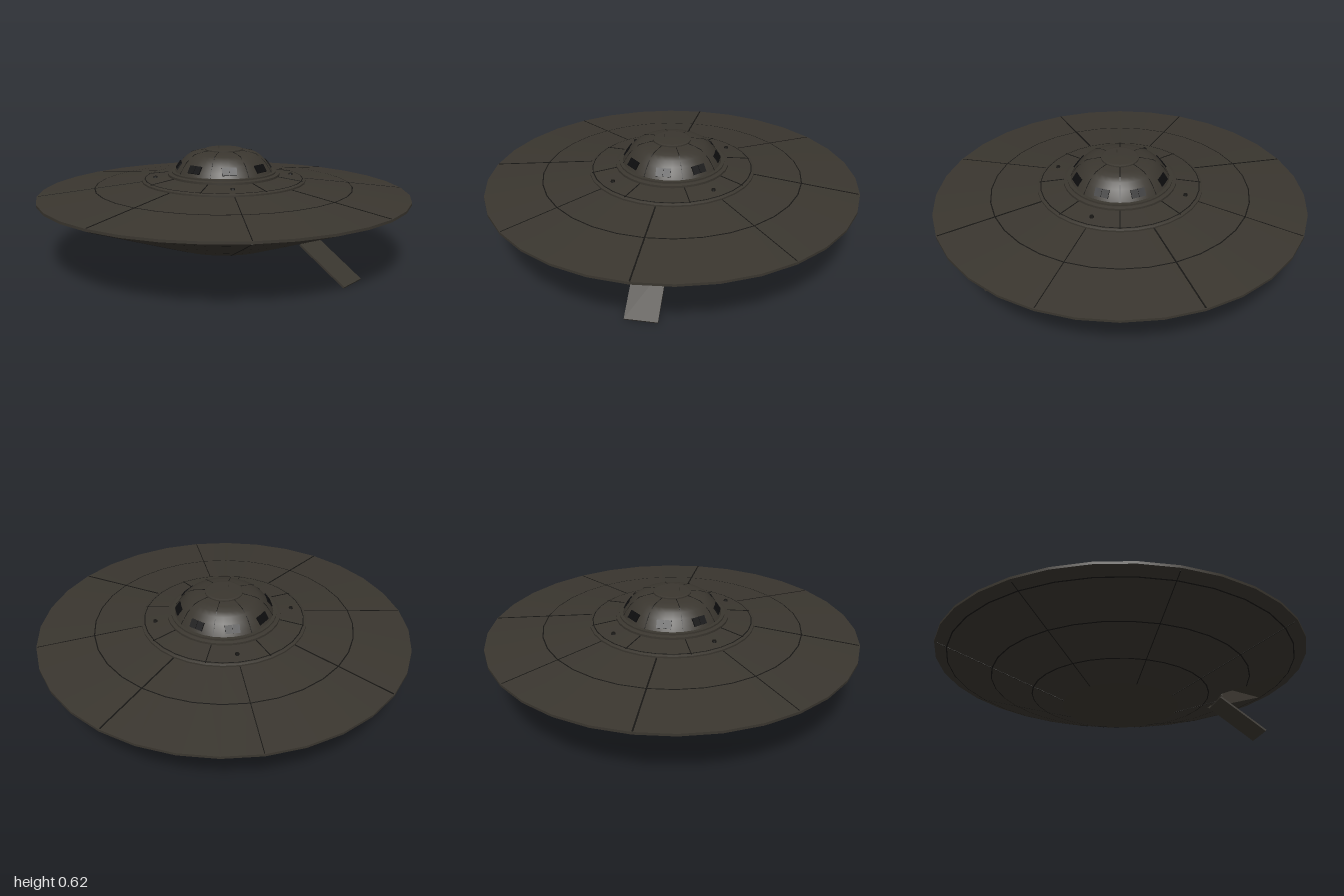
import * as THREE from 'three';

const SEG = 32, STEP = Math.PI * 2 / SEG;
const mat = (color) => new THREE.MeshStandardMaterial({ color, side: THREE.DoubleSide });
const RIM = 0.995, RIM_LOW = 0.345, RIM_TOP = 0.358;

export function createModel() {
  const model = new THREE.Group();
  const metal = mat(0x3a362f), dark = mat(0x161513), glass = mat(0x0d0d0e);

  const add = (name, geometry, material = metal, parent = model) => {
    const mesh = new THREE.Mesh(geometry, material);
    mesh.name = name;
    parent.add(mesh);
    return mesh;
  };
  const lathe = (name, pts, material = metal, start = 0, segs = SEG) =>
    add(name, new THREE.LatheGeometry(pts.map(p => new THREE.Vector2(...p)), segs, start, segs * STEP), material);
  // one lathe per straight band keeps the edges sharp
  const bands = (name, pts, material = metal) => {
    for (let i = 1; i < pts.length; i++) lathe(name, [pts[i - 1], pts[i]], material);
  };
  // an empty turned to an angle about the vertical axis (0 = front)
  const spoke = (name, angle) => {
    const g = new THREE.Group();
    g.name = name;
    g.rotation.y = angle;
    model.add(g);
    return g;
  };
  // thin strip between two (radius, height) points
  const strip = (name, angle, [r0, y0], [r1, y1], width, material = dark) => {
    const m = add(name, new THREE.BoxGeometry(width, 0.003, Math.hypot(r1 - r0, y1 - y0)), material, spoke(name, angle));
    m.position.set(0, (y0 + y1) / 2, (r0 + r1) / 2);
    m.rotation.x = -Math.atan2(y1 - y0, r1 - r0);
  };
  const under = r => 0.09 + (r - 0.305) / (RIM - 0.305) * (RIM_LOW - 0.09);
  const over = r => 0.425 + (r - 0.44) / (RIM - 0.44) * (RIM_TOP - 0.425);

  // hull, with the doorway left open in its lower cone
  const IN = 0.55, OUT = 0.92;
  bands('hullBottom', [[0, 0.09], [0.305, 0.09], [IN, under(IN)]]);
  lathe('hullUnderside', [[IN, under(IN)], [OUT, under(OUT)]], metal, STEP, SEG - 2);
  bands('hullRim', [[OUT, under(OUT)], [RIM, RIM_LOW], [RIM, RIM_TOP]]);
  bands('hullTop', [[RIM, RIM_TOP], [0.44, 0.425]]);

  // doorway recess
  lathe('doorwayBack', [[IN, under(IN)], [IN, 0.335]], metal, -STEP, 2);
  lathe('doorwayCeiling', [[IN, 0.335], [OUT, under(OUT)]], metal, -STEP, 2);
  for (const side of [-1, 1]) {
    const wall = new THREE.Shape([[IN, under(IN)], [OUT, under(OUT)], [IN, 0.335]].map(p => new THREE.Vector2(...p)));
    add('doorwaySide', new THREE.ShapeGeometry(wall)).rotation.y = side * STEP - Math.PI / 2;
    add('doorLeaf', new THREE.BoxGeometry(0.072, 0.14, 0.01)).position.set(side * 0.0385, 0.255, 0.555);
  }

  // boarding ramp
  const ramp = add('ramp', new THREE.BoxGeometry(0.165, 0.01, 0.306));
  ramp.position.set(0, 0.0895, 0.672);
  ramp.rotation.x = Math.atan2(0.17, 0.255);

  // collar and dome
  bands('collar', [[0.44, 0.425], [0.44, 0.434], [0.43, 0.438], [0.3, 0.456], [0.3, 0.468],
    [0.285, 0.472], [0.28, 0.472], [0.28, 0.48], [0.262, 0.48]]);
  lathe('dome', [[0.262, 0.478], [0.247, 0.505], [0.225, 0.535], [0.2, 0.56], [0.175, 0.576], [0.14, 0.585], [0.1, 0.59]]);
  bands('domeCap', [[0.1, 0.588], [0.1, 0.597], [0.09, 0.6], [0, 0.603]]);
  add('antenna', new THREE.CylinderGeometry(0.002, 0.003, 0.02, 6)).position.set(-0.04, 0.608, 0);

  // ring seams
  for (const r of [0.69]) lathe('upperRingSeam', [[r + 0.003, over(r) + 0.002], [r - 0.003, over(r) + 0.003]], dark);
  lathe('collarSeam', [[0.426, 0.4395], [0.421, 0.4405]], dark);
  for (const r of [0.47, 0.69, 0.93]) {
    const cut = r > IN && r < OUT;
    lathe('lowerRingSeam', [[r - 0.003, under(r) - 0.003], [r + 0.003, under(r) - 0.001]], dark,
      cut ? STEP : 0, cut ? SEG - 2 : SEG);
  }

  for (let i = 0; i < 8; i++) {
    const a = i * Math.PI / 4;
    // radial seams on the hull and collar
    const w = i % 2 ? 0.004 : 0.007;
    strip('upperSeam', a, [0.44, over(0.44)], [0.99, over(0.99)], w);
    strip('lowerSeam', a, [0.305, 0.09], i ? [0.98, under(0.98)] : [IN, under(IN)], 0.004);
    strip('collarJoint', a + Math.PI / 8, [0.3, 0.457], [0.43, 0.439], 0.004);
    // dome ribs between the windows
    const ribs = [[0.262, 0.479], [0.225, 0.536], [0.175, 0.577], [0.1, 0.591]];
    for (let k = 1; k < ribs.length; k++) strip('domeSeam', a + Math.PI / 8, ribs[k], ribs[k - 1], 0.003);
    // window: two panes leaning with the dome
    const win = spoke('window', a);
    for (const s of [-1, 1]) {
      const pane = add('windowPane', new THREE.BoxGeometry(0.037, 0.044, 0.012), glass, win);
      pane.position.set(s * 0.0195, 0.512, 0.239);
      pane.rotation.x = -0.6;
    }
  }

  // studs on the collar
  for (let i = 0; i < 4; i++) {
    const stud = add('collarStud', new THREE.CylinderGeometry(0.01, 0.012, 0.01, 10), dark,
      spoke('stud', Math.PI / 4 + i * Math.PI / 2));
    stud.position.set(0, 0.45, 0.367);
  }
  return model;
}
